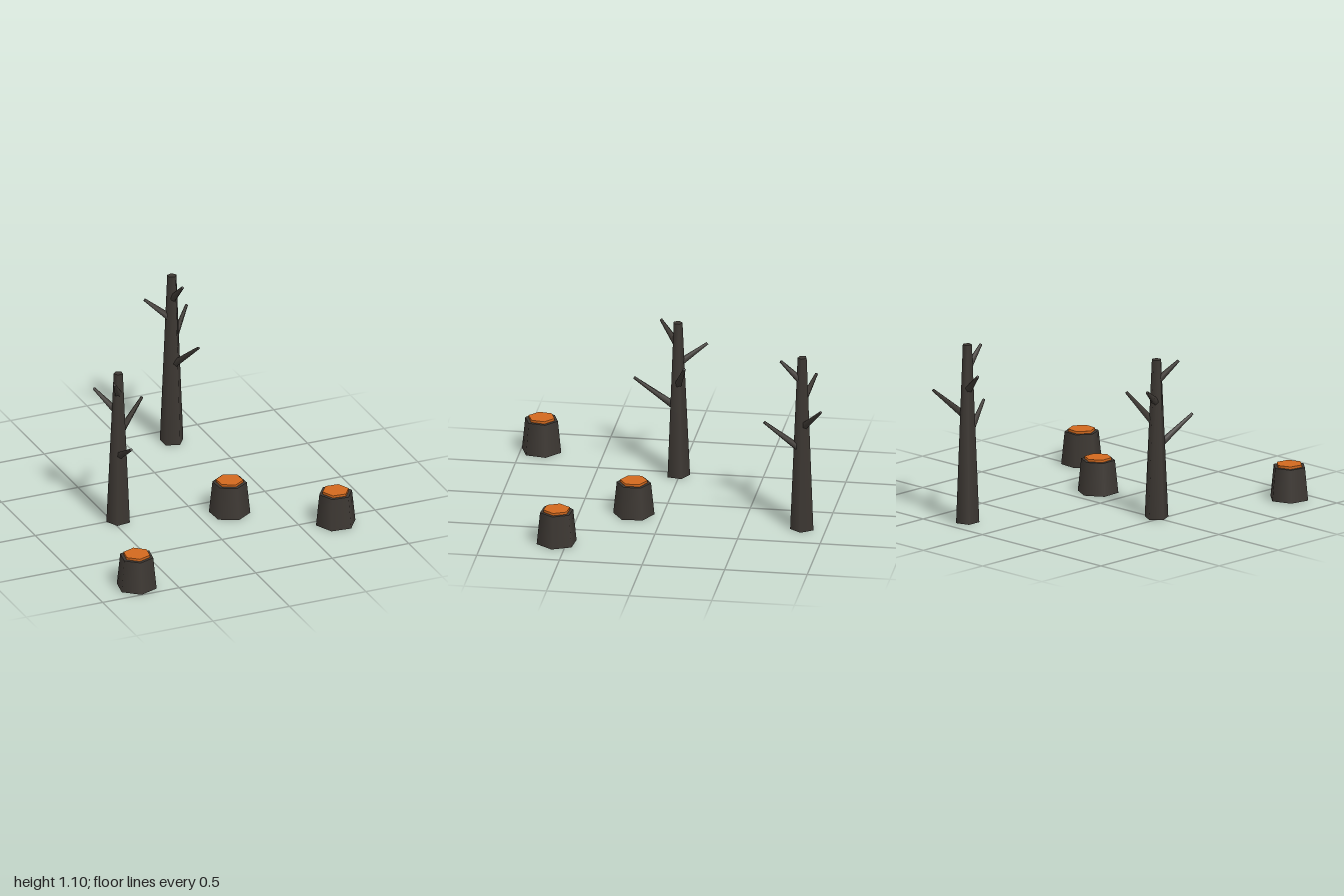
import * as THREE from 'three';

const bark = new THREE.MeshStandardMaterial({ color: 0x3d3833 });
const cutWood = new THREE.MeshStandardMaterial({ color: 0xd2691e });
const rad = THREE.MathUtils.degToRad;

// Tapered prism standing on its base, with one corner turned to the given angle
function post(name, rTop, rBase, height, sides, material, angle = 0) {
  const geo = new THREE.CylinderGeometry(rTop, rBase, height, sides);
  geo.translate(0, height / 2, 0);
  const mesh = new THREE.Mesh(geo, material);
  mesh.name = name;
  mesh.rotation.y = rad(angle);
  return mesh;
}

// Stump with a fresh-cut disc on top
function makeStump(x, z, angle) {
  const stump = new THREE.Group();
  stump.name = 'stump';
  const disc = post('cutTop', 0.082, 0.082, 0.015, 6, cutWood, angle);
  disc.position.y = 0.201;
  stump.add(post('stumpBody', 0.103, 0.124, 0.201, 6, bark, angle), disc);
  stump.position.set(x, 0, z);
  return stump;
}

// Bare tree: each branch is [height on the trunk, tip offset x, tip height, tip offset z]
function makeTree(x, z, height, angle, branches) {
  const tree = new THREE.Group();
  tree.name = 'bareTree';
  tree.add(post('trunk', 0.029, 0.074, height, 5, bark, angle));
  for (const [y, tx, ty, tz] of branches) {
    const dir = new THREE.Vector3(tx, ty - y, tz);
    const branch = post('branch', 0.009, 0.025, dir.length(), 5, bark);
    branch.position.y = y;
    branch.quaternion.setFromUnitVectors(new THREE.Vector3(0, 1, 0), dir.normalize());
    tree.add(branch);
  }
  tree.position.set(x, 0, z);
  return tree;
}

export function createModel() {
  const model = new THREE.Group();
  model.name = 'deadForestPatch';

  model.add(
    makeStump(-0.723, 0.876, -10),
    makeStump(0.193, 0.175, 3),
    makeStump(0.716, 0.561, 24.5),
    makeTree(-0.462, 0.012, 0.98, 188, [
      [0.84, -0.075, 0.965, 0.113],
      [0.71, -0.088, 0.822, -0.167],
      [0.57, 0.185, 0.755, -0.07],
      [0.43, -0.035, 0.597, 0.27],
    ]),
    makeTree(0.271, -0.857, 1.1, 90, [
      [0.81, -0.152, 0.94, -0.063],
      [0.65, 0.155, 0.815, -0.135],
      [0.5, 0.077, 0.7, 0.22],
      [0.94, 0.012, 1.073, 0.13],
    ]),
  );
  return model;
}
